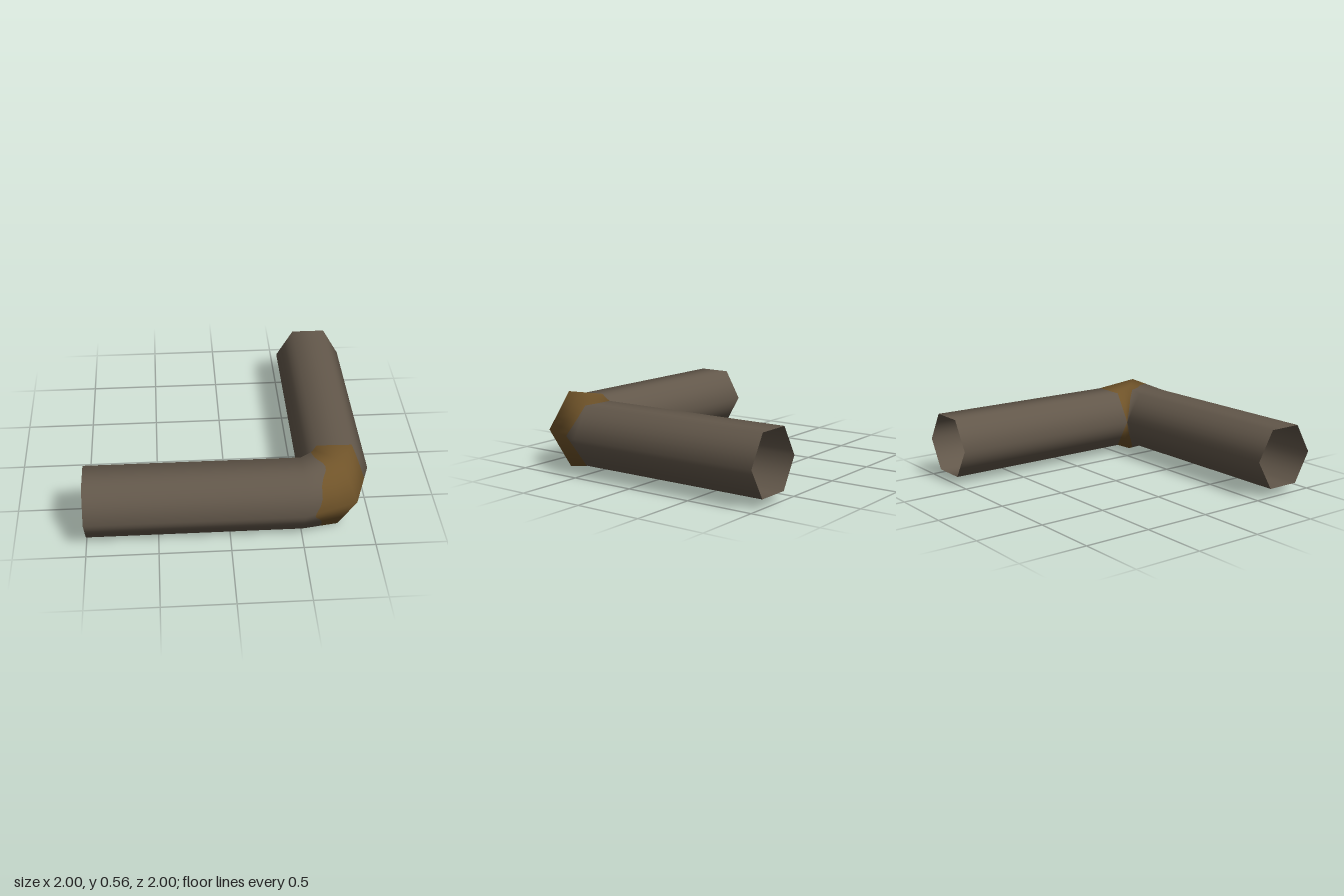
import * as THREE from 'three';

const CY = 0.28, R = 0.25, SIDES = 6, SUB = 6;

// Elbow's middle ring on the diagonal: distance along x = z, and height offset
const MID_D = [0.87, 0.765, 0.6, 0.5, 0.6, 0.765];
const MID_Y = [0, 0.28, 0.255, 0, -0.255, -0.28];

// Stations along the pipe: 0 left end, 1 elbow start, 2 elbow middle, 3 elbow end, 4 back end
function ringCorner(station, j) {
  const k = j % SIDES, a = (k / SIDES) * Math.PI * 2;
  const c = Math.cos(a), s = Math.sin(a);
  if (station === 2) {
    const p = new THREE.Vector3(MID_D[k], CY + MID_Y[k], MID_D[k]);
    const n = new THREE.Vector3(c * Math.SQRT1_2, s, c * Math.SQRT1_2);
    return { p, n };
  }
  if (station < 2) {
    return { p: new THREE.Vector3(station === 0 ? -1 : 0.5, CY + R * s, 0.75 + R * c), n: new THREE.Vector3(0, s, c) };
  }
  return { p: new THREE.Vector3(0.75 + R * c, CY + R * s, station === 4 ? -1 : 0.5), n: new THREE.Vector3(c, s, 0) };
}

// Point and smooth normal at any station s and side position v (0..6)
function sample(s, v) {
  const i = Math.min(3, Math.floor(s)), j = Math.min(SIDES - 1, Math.floor(v));
  const along = (jj) => {
    const a = ringCorner(i, jj), b = ringCorner(i + 1, jj);
    return { p: a.p.lerp(b.p, s - i), n: a.n.lerp(b.n, s - i) };
  };
  const a = along(j), b = along(j + 1);
  return { p: a.p.lerp(b.p, v - j), n: a.n.lerp(b.n, v - j).normalize() };
}

// Skin of the pipe between two station limits that may vary around it
function skin(from, to, steps) {
  const pos = [], nor = [], idx = [], cols = SIDES * SUB;
  for (let c = 0; c <= cols; c++) {
    const v = c / SUB, a = from(v), b = to(v);
    for (let k = 0; k <= steps; k++) {
      const { p, n } = sample(a + ((b - a) * k) / steps, v);
      pos.push(p.x, p.y, p.z);
      nor.push(n.x, n.y, n.z);
    }
  }
  const w = steps + 1;
  for (let c = 0; c < cols; c++) {
    for (let k = 0; k < steps; k++) {
      const q = c * w + k;
      idx.push(q, q + 1, q + w + 1, q, q + w + 1, q + w);
    }
  }
  const g = new THREE.BufferGeometry();
  g.setAttribute('position', new THREE.Float32BufferAttribute(pos, 3));
  g.setAttribute('normal', new THREE.Float32BufferAttribute(nor, 3));
  g.setIndex(idx);
  return g;
}

// Interpolates a limit given at the six pipe edges, with a slight waver
function edgeLimit(values, waver) {
  return (v) => {
    const j = Math.floor(v) % SIDES, f = v - Math.floor(v);
    const base = THREE.MathUtils.lerp(values[j], values[(j + 1) % SIDES], f);
    return base + waver * Math.sin(f * Math.PI * 2);
  };
}

export function createModel() {
  const group = new THREE.Group();
  group.name = 'elbowPipe';
  const metal = new THREE.MeshStandardMaterial({ color: 0x62574a, side: THREE.DoubleSide });
  metal.name = 'dull grey brown metal';
  const rust = new THREE.MeshStandardMaterial({ color: 0x6f5329, side: THREE.DoubleSide });
  rust.name = 'rust brown';

  const at = (s) => () => s;
  const rustStart = edgeLimit([1.2, 1.55, 1.7, 1.8, 1.7, 1.5], 0.05);
  const rustEnd = edgeLimit([2.68, 2.97, 3, 3, 3, 2.97], 0);

  const add = (name, geometry, material) => {
    const mesh = new THREE.Mesh(geometry, material);
    mesh.name = name;
    group.add(mesh);
  };

  // Straight arms, open at the far ends
  add('sideArm', skin(at(0), at(1), 1), metal);
  add('backArm', skin(at(3), at(4), 1), metal);

  // Elbow with its rusted band
  add('elbowStart', skin(at(1), rustStart, 2), metal);
  add('rustOuterBend', skin(rustStart, at(2), 2), rust);
  add('rustInnerBend', skin(at(2), rustEnd, 2), rust);
  add('elbowEnd', skin(rustEnd, at(3), 1), metal);

  return group;
}
